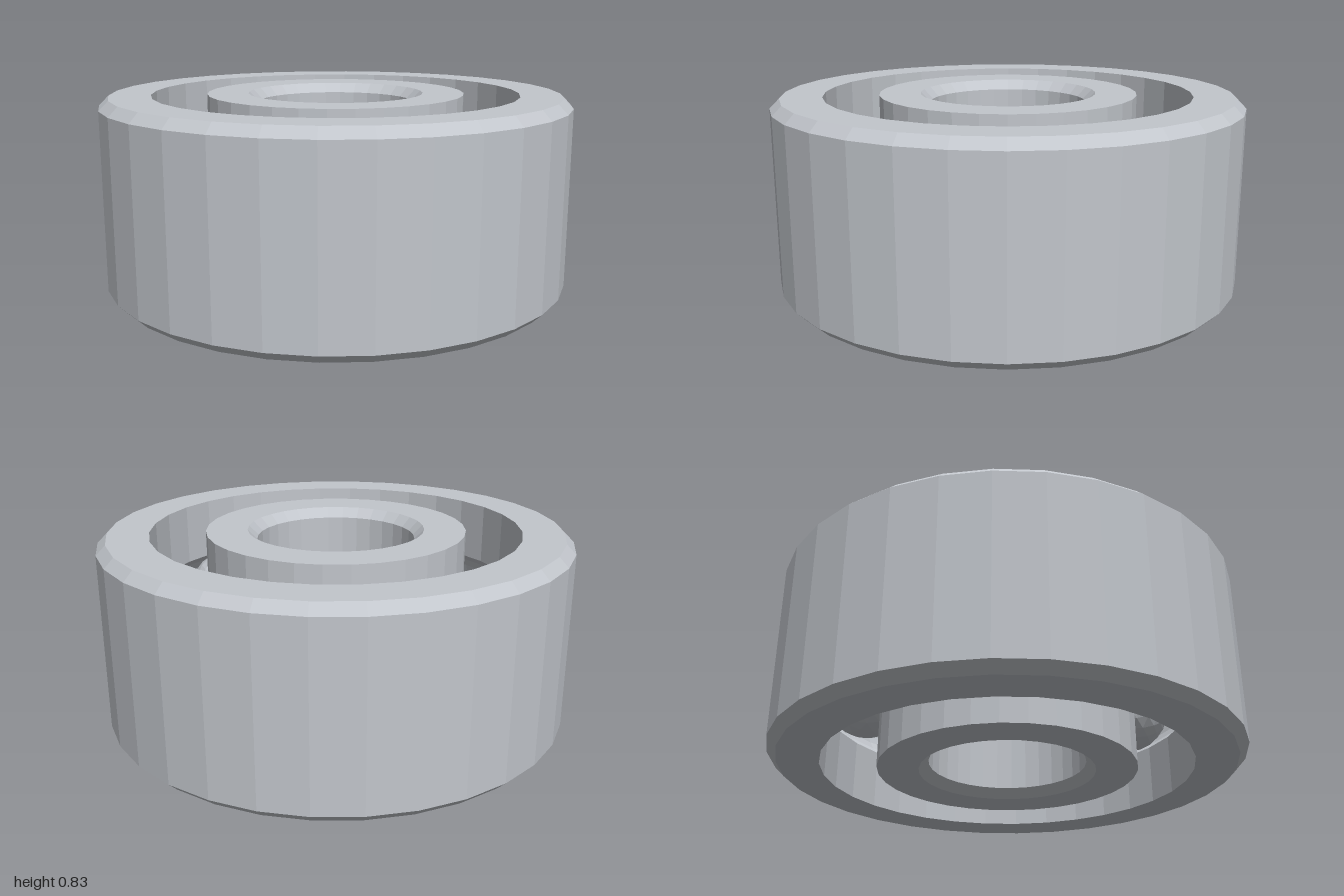
import * as THREE from 'three';

const HEIGHT = 0.833, MID = HEIGHT / 2, BEVEL = 0.04;
const PITCH = 0.665, BALL_RADIUS = 0.185, GROOVE_RADIUS = 0.195;
const SIDES = 32, BALLS = 8;

// Give every facet its own normal
function faceted(geometry) {
  const flat = geometry.index ? geometry.toNonIndexed() : geometry;
  flat.computeVertexNormals();
  return flat;
}

// Arc of the ball groove where it cuts into a wall of the given radius
function groove(wall, goingUp) {
  const side = Math.sign(wall - PITCH);
  const limit = Math.acos(Math.abs(wall - PITCH) / GROOVE_RADIUS);
  const points = [];
  for (let i = 0; i <= 8; i++) {
    const a = limit * (i / 4 - 1) * (goingUp ? 1 : -1);
    points.push([PITCH + side * GROOVE_RADIUS * Math.cos(a), MID + GROOVE_RADIUS * Math.sin(a)]);
  }
  return points;
}

export function createModel() {
  const model = new THREE.Group();
  model.name = 'ballBearing';
  const steel = new THREE.MeshStandardMaterial({ color: 0xc2c6cc });
  steel.name = 'steel';

  function addRing(name, profile) {
    const points = profile.map(([r, y]) => new THREE.Vector2(r, y));
    const ring = new THREE.Mesh(faceted(new THREE.LatheGeometry(points, SIDES)), steel);
    ring.name = name;
    model.add(ring);
  }

  // Outer race: bevelled outside, grooved inside
  addRing('outerRing', [
    [0.785, 0], [1 - BEVEL, 0], [1, BEVEL], [1, HEIGHT - BEVEL], [1 - BEVEL, HEIGHT],
    [0.785, HEIGHT], ...groove(0.785, false), [0.785, 0],
  ]);

  // Inner race: grooved outside, bevelled bore
  const bore = 0.335;
  addRing('innerRing', [
    [bore + BEVEL, 0], [0.55, 0], ...groove(0.55, true), [0.55, HEIGHT],
    [bore + BEVEL, HEIGHT], [bore, HEIGHT - BEVEL], [bore, BEVEL], [bore + BEVEL, 0],
  ]);

  // Balls spaced evenly between the races
  const ballGeometry = faceted(new THREE.IcosahedronGeometry(BALL_RADIUS, 3));
  for (let i = 0; i < BALLS; i++) {
    const a = (i / BALLS) * Math.PI * 2;
    const ball = new THREE.Mesh(ballGeometry, steel);
    ball.name = `ball${i + 1}`;
    ball.position.set(PITCH * Math.sin(a), MID, PITCH * Math.cos(a));
    model.add(ball);
  }
  return model;
}
